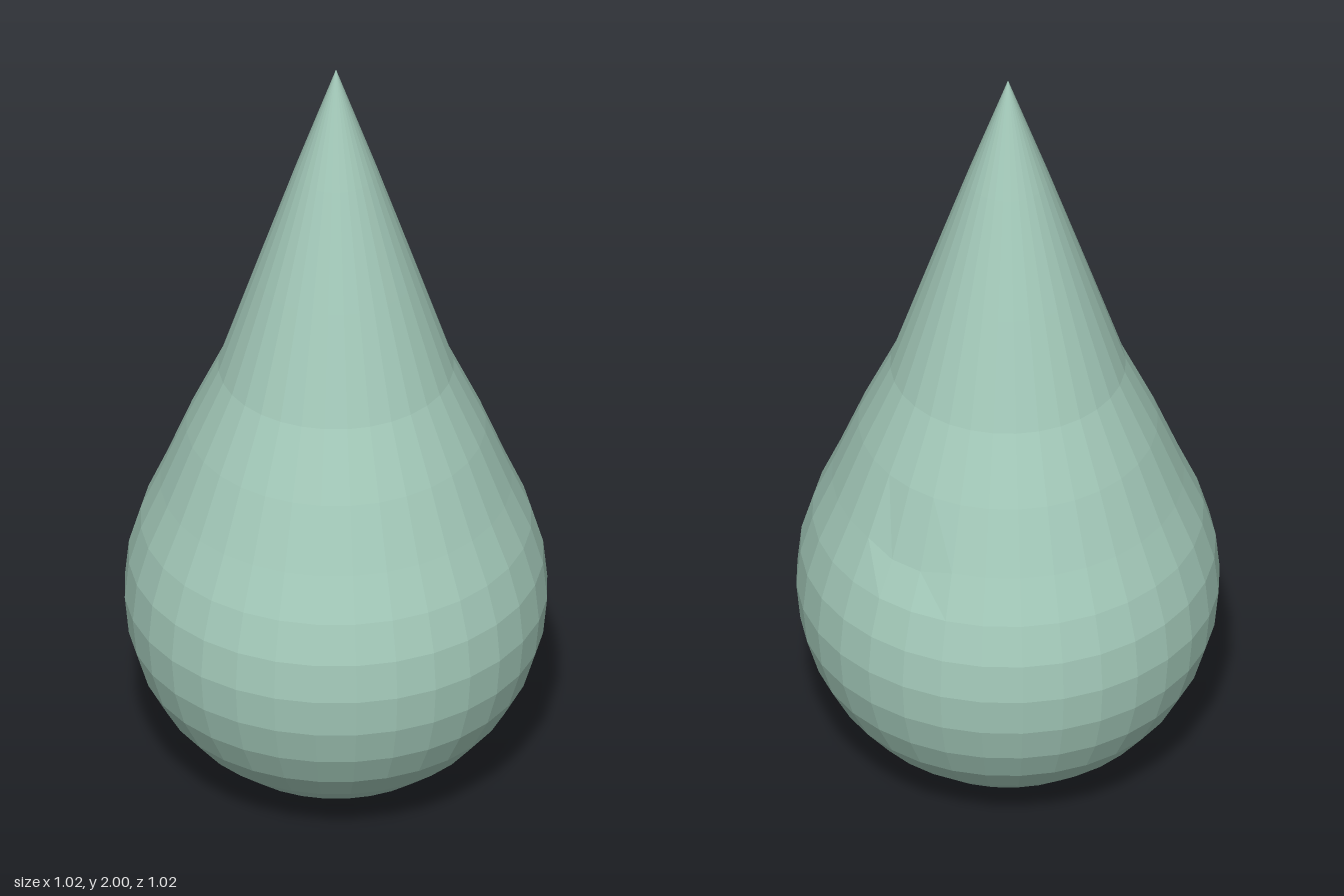
import * as THREE from 'three';

export function createModel() {
  const group = new THREE.Group();
  const R = 0.51, sides = 32, rings = 16;

  // Profile: round lower half, then the upper rings are drawn up to a point
  const stretchedY = [0.61, 0.71, 0.82, 0.98, 1.15, 1.42, 1.71, 2];
  const profile = [];
  for (let i = 0; i <= rings; i++) {
    const a = (i / rings) * Math.PI;
    const y = i <= rings / 2 ? R - R * Math.cos(a) : stretchedY[i - rings / 2 - 1];
    profile.push(new THREE.Vector2(i % rings ? R * Math.sin(a) : 0, y));
  }
  const geometry = new THREE.LatheGeometry(profile, sides);

  // Slight dent on the upper back: two neighbouring points sit a little lower
  const position = geometry.attributes.position;
  for (const side of [14, 15]) {
    const index = side * (rings + 1) + 11;
    position.setY(index, position.getY(index) - 0.02);
  }
  geometry.computeVertexNormals();

  const drop = new THREE.Mesh(
    geometry,
    new THREE.MeshStandardMaterial({ color: 0xa3c9b9, flatShading: true })
  );
  drop.name = 'drop';
  group.add(drop);
  return group;
}
